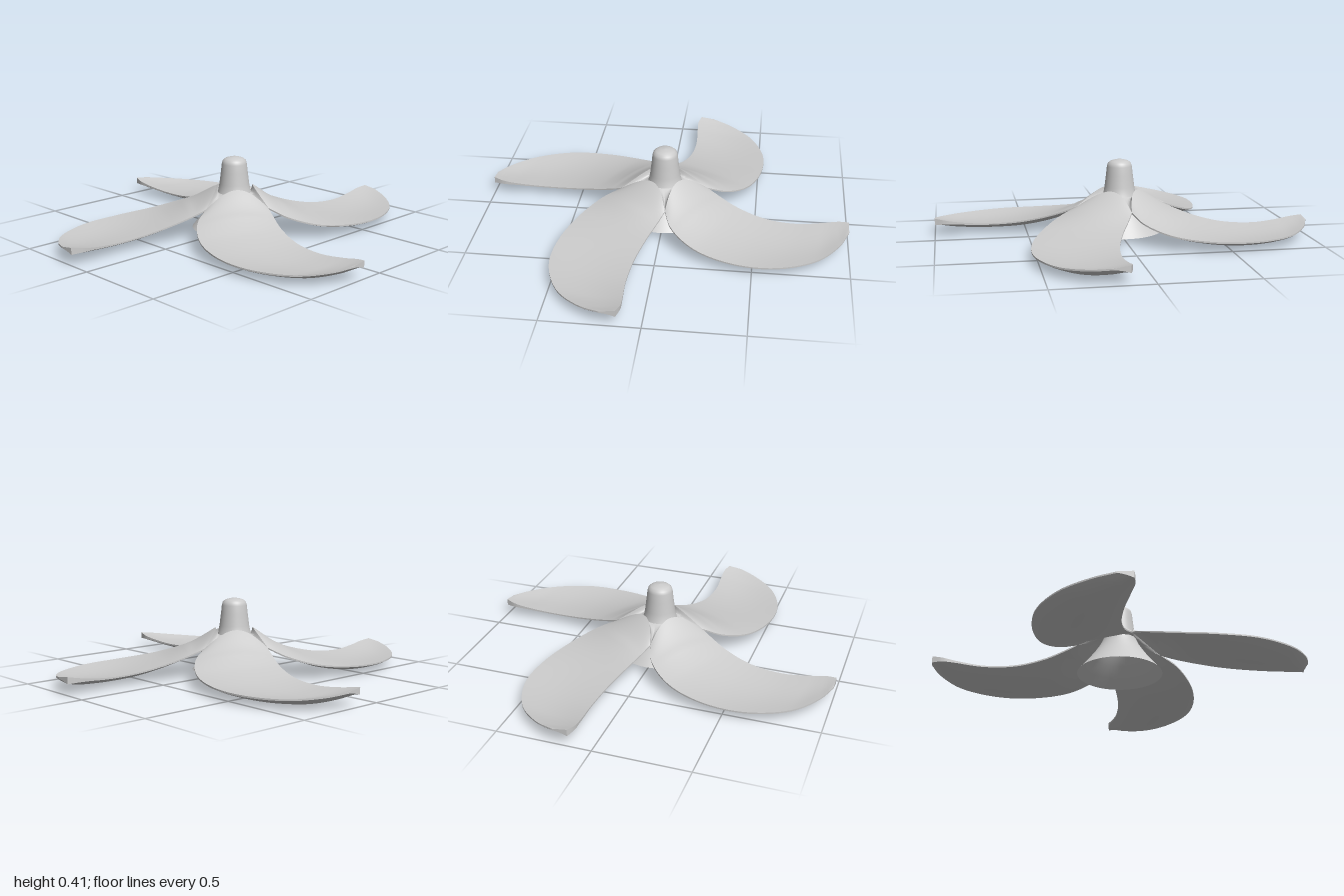
import * as THREE from 'three';
import { toCreasedNormals } from 'three/addons/utils/BufferGeometryUtils.js';

const material = new THREE.MeshStandardMaterial({ color: 0xcccccc, side: THREE.DoubleSide });
const curve = (pts) => new THREE.CatmullRomCurve3(pts.map((p) => new THREE.Vector3(...p)));

// Blade rails, root to tip
const concaveEdge = curve([
  [0.235, 0.165, -0.025], [0.29, 0.14, 0], [0.4, 0.1, 0.05], [0.55, 0.067, 0.095],
  [0.72, 0.057, 0.113], [0.87, 0.07, 0.107], [0.945, 0.083, 0.106], [1, 0.093, 0.122],
]);
const convexEdge = curve([
  [0.025, 0.165, 0.235], [0.07, 0.125, 0.335], [0.2, 0.08, 0.445], [0.4, 0.058, 0.517],
  [0.62, 0.053, 0.523], [0.83, 0.055, 0.437], [0.95, 0.068, 0.305], [1, 0.082, 0.2],
]);
// Per station: arch of the top, belly of the underside, thickness of the concave edge
const section = curve([
  [0.085, 0.015, 0.008], [0.03, 0.025, 0.008], [0.004, 0.034, 0.008], [-0.008, 0.038, 0.008],
  [-0.015, 0.032, 0.008], [-0.014, 0.025, 0.012], [-0.007, 0.016, 0.022], [0, 0.004, 0.036],
]);

function topPoint(t, u) {
  const p = concaveEdge.getPoint(t).lerp(convexEdge.getPoint(t), u);
  const wave = Math.sin(Math.PI * u);
  const bow = 0.047 * Math.max(0, 1 - 6 * t) * wave; // root pulled in to the hub
  return p.add(new THREE.Vector3(-bow, section.getPoint(t).x * wave, -bow));
}

// Surface from rows x columns of points
function gridGeometry(rows, crease) {
  const n = rows[0].length;
  const index = [];
  for (let i = 0; i < rows.length - 1; i++) {
    for (let j = 0; j < n - 1; j++) {
      const a = i * n + j, b = a + 1, c = a + n, d = c + 1;
      index.push(a, b, c, b, d, c);
    }
  }
  const g = new THREE.BufferGeometry().setFromPoints(rows.flat());
  g.setIndex(index);
  return toCreasedNormals(g, crease);
}

// Lofted blade: top skin, then underside, closed at both ends
function bladeGeometry() {
  const stations = 60, across = 20;
  const ring = (t, flat) => {
    const top = [], bottom = [];
    const { y: belly, z: edge } = section.getPoint(t);
    for (let j = 0; j <= across; j++) {
      const u = j / across;
      const p = topPoint(t, u);
      const rim = 0.008 + (edge - 0.008) * (1 - u) ** 2; // sharp on the convex side
      const q = p.clone();
      q.y -= rim + belly * Math.pow(Math.max(0, Math.sin(Math.PI * u)), 0.8);
      if (flat) p.y = q.y = (p.y + q.y) / 2;
      top.push(p);
      bottom.unshift(q);
    }
    return [...top, ...bottom, top[0].clone()];
  };
  const rows = [ring(0, true)];
  for (let i = 0; i <= stations; i++) rows.push(ring(i / stations, false));
  rows.push(ring(1, true));
  return gridGeometry(rows, 0.7);
}

// Fillet from the arched blade root down to the hub
function filletGeometry() {
  const rows = [];
  for (let i = 0; i <= 6; i++) {
    const s = i / 6, row = [];
    for (let j = 0; j <= 20; j++) {
      const angle = -0.09 + (j / 20) * Math.PI / 2;
      const inner = new THREE.Vector3(0.086 * Math.cos(angle), 0.22, 0.086 * Math.sin(angle));
      const p = inner.lerp(topPoint(0, j / 20), s);
      p.y -= 0.012 * Math.sin(Math.PI * s);
      row.push(p);
    }
    rows.push(row);
  }
  return gridGeometry(rows, 0.7);
}

function addMesh(parent, name, geometry) {
  const mesh = new THREE.Mesh(geometry, material);
  mesh.name = name;
  parent.add(mesh);
}

export function createModel() {
  const group = new THREE.Group();
  group.name = 'propeller';

  // Hollow flared hub with a rounded cap
  const profile = [
    [0.23, 0.02], [0.187, 0.07], [0.144, 0.125], [0.108, 0.18], [0.088, 0.225], [0.081, 0.265],
    [0.073, 0.33], [0.068, 0.375], [0.063, 0.392], [0.05, 0.403], [0.028, 0.41], [0, 0.413],
  ].map(([x, y]) => new THREE.Vector2(x, y));
  addMesh(group, 'hub', new THREE.LatheGeometry(profile, 64));

  // Four blades, a quarter turn apart
  const blade = bladeGeometry(), fillet = filletGeometry();
  for (let k = 0; k < 4; k++) {
    const arm = new THREE.Group();
    arm.name = `bladeArm${k + 1}`;
    addMesh(arm, 'blade', blade);
    addMesh(arm, 'rootFillet', fillet);
    arm.rotation.y = k * Math.PI / 2;
    group.add(arm);
  }
  return group;
}
